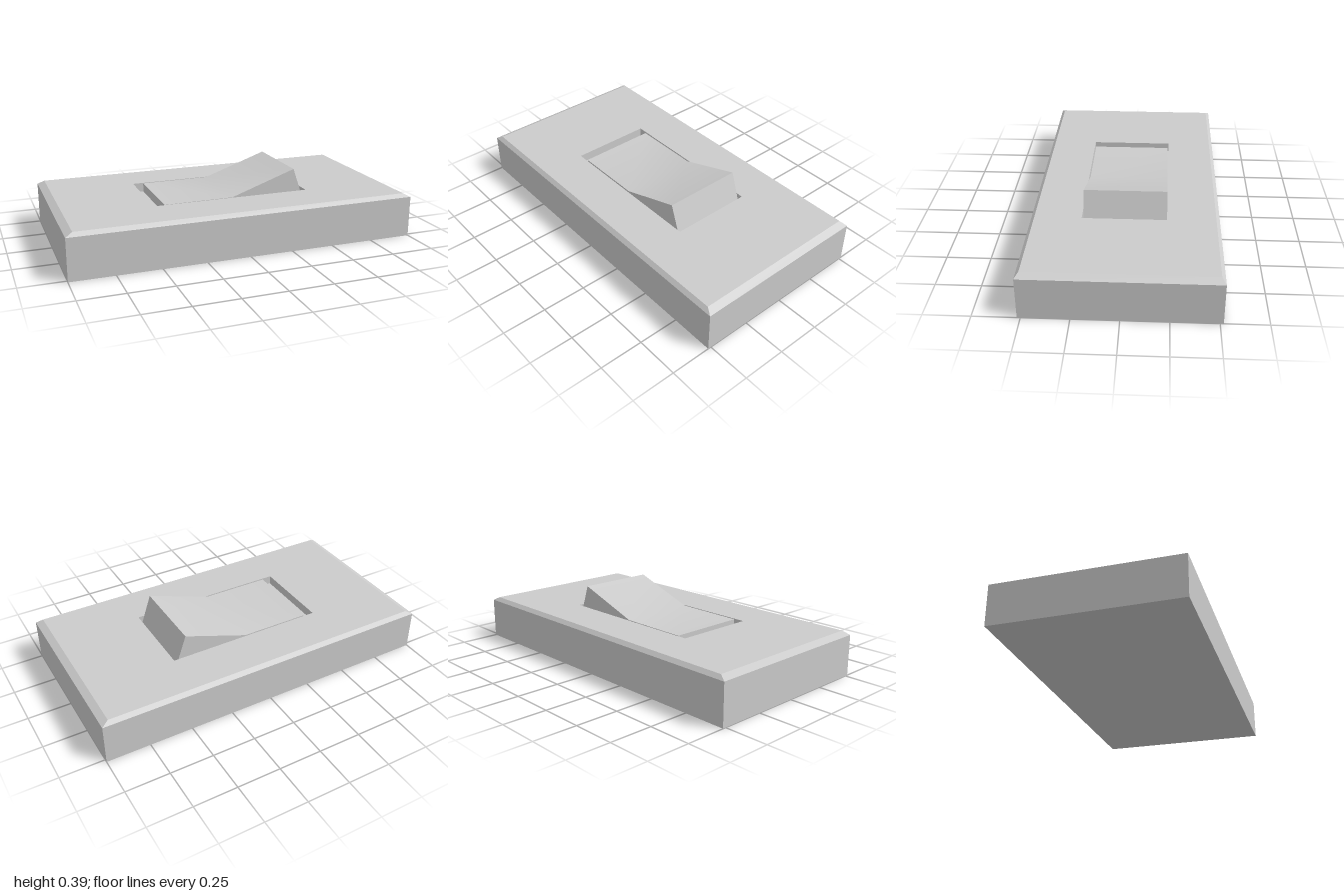
import * as THREE from 'three';
import { toCreasedNormals } from 'three/addons/utils/BufferGeometryUtils.js';

const CREASE = 0.42;

// Skins a stack of rectangular loops [xMin, xMax, halfDepth, y] and caps both ends.
function rectLoft(loops) {
  const positions = [];
  const index = [];
  for (const [x0, x1, z, y] of loops) {
    positions.push(x0, y, z, x1, y, z, x1, y, -z, x0, y, -z);
  }
  for (let i = 0; i < loops.length - 1; i++) {
    for (let j = 0; j < 4; j++) {
      const a = i * 4 + j;
      const b = i * 4 + (j + 1) % 4;
      index.push(a, b, b + 4, a, b + 4, a + 4);
    }
  }
  const e = (loops.length - 1) * 4;
  index.push(0, 2, 1, 0, 3, 2, e, e + 1, e + 2, e, e + 2, e + 3);
  const geometry = new THREE.BufferGeometry();
  geometry.setAttribute('position', new THREE.Float32BufferAttribute(positions, 3));
  geometry.setIndex(index);
  return toCreasedNormals(geometry, CREASE);
}

export function createModel() {
  const group = new THREE.Group();
  group.name = 'rockerSwitch';
  const material = new THREE.MeshStandardMaterial({ color: 0xcccccc });

  // Wall plate: straight sides, bevelled rim, flat top, then down into the recess
  const plate = new THREE.Mesh(rectLoft([
    [-1, 1, 0.518, 0],
    [-1, 1, 0.518, 0.237],
    [-0.96, 0.96, 0.497, 0.258],
    [-0.465, 0.46, 0.237, 0.258],
    [-0.465, 0.46, 0.237, 0.205],
  ]), material);
  plate.name = 'wallPlate';
  group.add(plate);

  // Rocker: pressed half lies flush, the other half tilts up
  const profile = new THREE.Shape([
    [-0.404, 0.205], [0.446, 0.205], [0.382, 0.39], [0, 0.258], [-0.404, 0.257],
  ].map(([x, y]) => new THREE.Vector2(x, y)));
  const depth = 0.458;
  const rockerGeometry = new THREE.ExtrudeGeometry(profile, { depth, bevelEnabled: false });
  rockerGeometry.translate(0, 0, -depth / 2);
  const rocker = new THREE.Mesh(toCreasedNormals(rockerGeometry, CREASE), material);
  rocker.name = 'rocker';
  group.add(rocker);

  return group;
}
